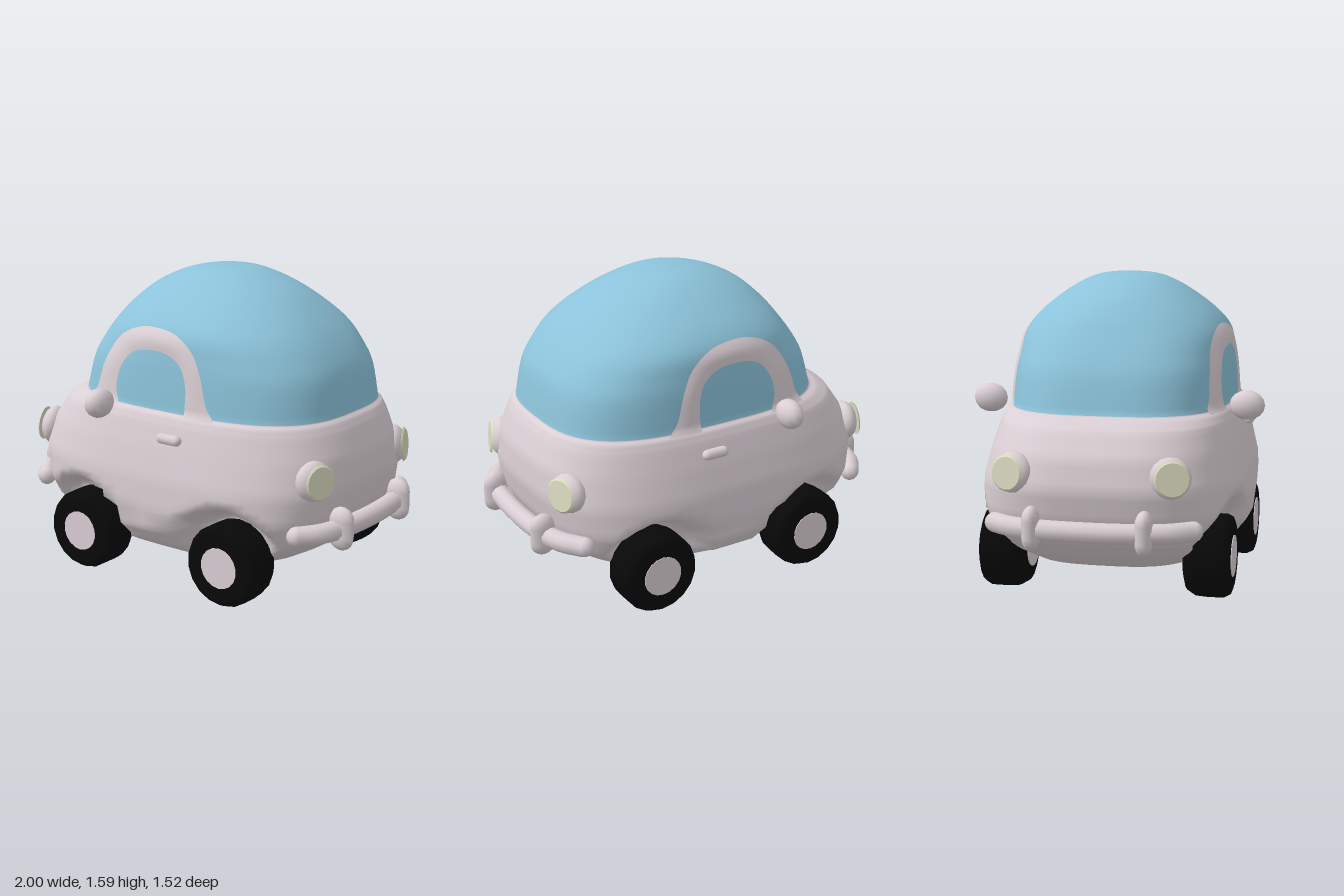
import * as THREE from 'three';

const mat = (name, color) => {
  const m = new THREE.MeshStandardMaterial({ color });
  m.name = name;
  return m;
};

// Horizontal body sections: [height, back x, front x, half width, squareness]
const RINGS = [
  [0.165, -0.001, 0.001, 0.001, 3], [0.165, -0.6, 0.6, 0.45, 3], [0.24, -0.73, 0.73, 0.585, 3],
  [0.33, -0.83, 0.83, 0.657, 3.2], [0.45, -0.89, 0.89, 0.67, 3.3], [0.6, -0.92, 0.92, 0.663, 3.2],
  [0.75, -0.885, 0.91, 0.632, 3], [0.87, -0.8, 0.865, 0.6, 3], [0.912, -0.73, 0.842, 0.582, 3],
  [0.93, -0.68, 0.82, 0.56, 3], [1.1, -0.635, 0.79, 0.55, 2.9], [1.2, -0.585, 0.745, 0.54, 2.7],
  [1.3, -0.515, 0.672, 0.522, 2.5], [1.39, -0.445, 0.58, 0.455, 2.3], [1.48, -0.345, 0.462, 0.345, 2.15],
  [1.54, -0.23, 0.34, 0.25, 2.05], [1.575, -0.12, 0.23, 0.165, 2], [1.588, -0.02, 0.13, 0.08, 2],
  [1.592, 0.049, 0.051, 0.001, 2],
];
const GLASS_RING = 9, SUB = 4;
const WHEEL_X = 0.452, WHEEL_Y = 0.212;
const mixRing = (a, b, t) => a.map((v, k) => v + (b[k] - v) * t);

// Finer sections: straight between rings below, curved over the dome
const ROWS = [];
for (let j = 0; j <= (RINGS.length - 1) * SUB; j++) {
  const k = Math.min(Math.floor(j / SUB), RINGS.length - 2), t = j / SUB - k;
  const p1 = RINGS[k], p2 = RINGS[k + 1];
  const p0 = k > GLASS_RING ? RINGS[k - 1] : p1, p3 = RINGS[Math.min(k + 2, RINGS.length - 1)];
  if (k < GLASS_RING) ROWS.push(mixRing(p1, p2, t));
  else ROWS.push(p1.map((v, i) => v + 0.5 * t * (p2[i] - p0[i]
    + t * (2 * p0[i] - 5 * v + 4 * p2[i] - p3[i] + t * (3 * (v - p2[i]) + p3[i] - p0[i])))));
}

// Half width of the cabin at a given x and height
function sideZ(x, y) {
  const k = ROWS.findIndex((r) => r[0] >= y);
  const [, x0, x1, b, n] = mixRing(ROWS[k - 1], ROWS[k], (y - ROWS[k - 1][0]) / (ROWS[k][0] - ROWS[k - 1][0]));
  const u = Math.min(1, Math.abs((x - (x0 + x1) / 2) / ((x1 - x0) / 2)));
  return b * Math.pow(1 - Math.pow(u, n), 1 / n);
}

function gridGeometry(pos, rows, cols, wrap, flip) {
  const index = [];
  const width = wrap ? cols : cols + 1;
  for (let j = 0; j < rows; j++) for (let i = 0; i < cols; i++) {
    const a = j * width + i, b = j * width + (i + 1) % width, c = a + width, d = b + width;
    if (flip) index.push(a, b, c, b, d, c);
    else index.push(a, c, b, b, c, d);
  }
  const g = new THREE.BufferGeometry();
  g.setAttribute('position', new THREE.Float32BufferAttribute(pos, 3));
  g.setIndex(index);
  g.computeVertexNormals();
  return g;
}

// Lofted shell with pushed-in wheel arches; lower part paint, upper part glass
function shellGeometry() {
  const SEG = 96, pos = [], rows = ROWS.length - 1;
  const pw = (v, n) => Math.sign(v) * Math.pow(Math.abs(v), 2 / n);
  for (const [y, x0, x1, b, n] of ROWS) for (let i = 0; i < SEG; i++) {
    const t = (i / SEG) * Math.PI * 2;
    const x = (x0 + x1) / 2 + ((x1 - x0) / 2) * pw(Math.cos(t), n);
    let z = b * pw(Math.sin(t), n);
    const d = Math.hypot(Math.abs(x) - WHEEL_X, y - WHEEL_Y);
    const f = 1 - THREE.MathUtils.smoothstep(d, 0.22, 0.315);
    z += (Math.sign(z) * Math.min(Math.abs(z), 0.46) - z) * f;
    pos.push(x, y, z);
  }
  const g = gridGeometry(pos, rows, SEG, true, false);
  const split = GLASS_RING * SUB * SEG * 6;
  g.addGroup(0, split, 0);
  g.addGroup(split, rows * SEG * 6 - split, 1);
  return g;
}

// Arched door frame laid over the cabin side
function doorFrameGeometry(side) {
  const curve = (pts) => new THREE.CatmullRomCurve3(pts.map(([x, y]) => new THREE.Vector3(x, y, 0)));
  const outer = curve([[-0.46, 0.918], [-0.42, 0.98], [-0.37, 1.12], [-0.27, 1.26], [-0.13, 1.325], [0, 1.333],
    [0.12, 1.31], [0.22, 1.24], [0.28, 1.12], [0.32, 0.98], [0.37, 0.918]]);
  const inner = curve([[-0.235, 0.918], [-0.26, 1.0], [-0.24, 1.1], [-0.17, 1.19], [-0.08, 1.22], [0.06, 1.218],
    [0.15, 1.17], [0.19, 1.08], [0.19, 0.918]]);
  const rows = 6, cols = 40, pos = [];
  for (let j = 0; j <= rows; j++) for (let i = 0; i <= cols; i++) {
    const p = outer.getPointAt(i / cols).lerp(inner.getPointAt(i / cols), j / rows);
    const lift = 0.004 + 0.006 * Math.sin((Math.PI * j) / rows);
    pos.push(p.x, p.y, side * (sideZ(p.x, p.y) + lift));
  }
  return gridGeometry(pos, rows, cols, false, side < 0);
}

export function createModel() {
  const car = new THREE.Group();
  car.name = 'bubbleCar';
  const paint = mat('bodyPaint', 0xdacfd4);
  const glass = mat('blueGlass', 0x8cc3da);
  const rubber = mat('tyreBlack', 0x080808);
  const lens = mat('lampLens', 0xdcdbc0);

  const add = (name, geo, material, x = 0, y = 0, z = 0, parent = car) => {
    const m = new THREE.Mesh(geo, material);
    m.name = name;
    m.position.set(x, y, z);
    parent.add(m);
    return m;
  };

  add('bodyAndGlassDome', shellGeometry(), [paint, glass]);

  const tyreGeo = new THREE.LatheGeometry([
    [0, -0.117], [0.14, -0.117], [0.18, -0.105], [0.207, -0.06], [0.211, 0], [0.21, 0.08],
    [0.195, 0.108], [0.17, 0.117], [0, 0.117],
  ].map(([r, h]) => new THREE.Vector2(r, h)), 18);
  const hubGeo = new THREE.CylinderGeometry(0.105, 0.105, 0.245, 18);
  const mirrorGeo = new THREE.SphereGeometry(1, 12, 8);
  const handleGeo = new THREE.CapsuleGeometry(0.027, 0.09, 4, 10);

  // Parts on both flanks
  for (const side of [1, -1]) {
    add('doorFrame', doorFrameGeometry(side), paint);

    for (const x of [-WHEEL_X, WHEEL_X]) {
      const wheel = new THREE.Group();
      wheel.name = 'wheel';
      wheel.position.set(x, WHEEL_Y, side * 0.518);
      wheel.rotation.x = side * Math.PI / 2;
      car.add(wheel);
      add('tyre', tyreGeo, rubber, 0, 0, 0, wheel);
      add('hub', hubGeo, paint, 0, -0.002, 0, wheel);
    }

    add('wingMirror', mirrorGeo, paint, -0.265, 0.945, side * 0.67).scale.set(0.062, 0.075, 0.09);
    const handle = add('doorHandle', handleGeo, paint, 0.15, 0.817, side * 0.635);
    handle.rotation.z = Math.PI / 2;
  }

  const lampGeo = new THREE.SphereGeometry(0.103, 16, 10);
  const lensGeo = new THREE.CylinderGeometry(0.08, 0.09, 0.009, 16);
  const guardGeo = new THREE.CapsuleGeometry(0.068, 0.085, 5, 10);
  const endGeo = new THREE.SphereGeometry(0.05, 10, 8);

  // Lamps and bumper on both ends
  for (const end of [1, -1]) {
    const path = new THREE.CatmullRomCurve3([[0.81, 0.49], [0.88, 0.39], [0.92, 0.25], [0.938, 0], [0.92, -0.25],
      [0.88, -0.39], [0.81, -0.49]].map(([x, z]) => new THREE.Vector3(end * x, 0.412, z)));
    add('bumperBar', new THREE.TubeGeometry(path, 24, 0.051, 10), paint);

    for (const side of [1, -1]) {
      add('bumperEnd', endGeo, paint, end * 0.81, 0.412, side * 0.49);
      add('bumperGuard', guardGeo, paint, end * 0.931, 0.418, side * 0.275).scale.z = 0.63;

      const lamp = new THREE.Group();
      lamp.name = 'headlamp';
      lamp.position.set(end > 0 ? 0.835 : -0.84, 0.67, side * 0.385);
      const dir = new THREE.Vector3(end * 0.94, 0.08, side * 0.32).normalize();
      lamp.quaternion.setFromUnitVectors(new THREE.Vector3(0, 1, 0), dir);
      car.add(lamp);
      add('lampHousing', lampGeo, paint, 0, 0, 0, lamp).scale.y = 0.6;
      add('lampLens', lensGeo, lens, 0, 0.058, 0, lamp);
    }
  }
  return car;
}
